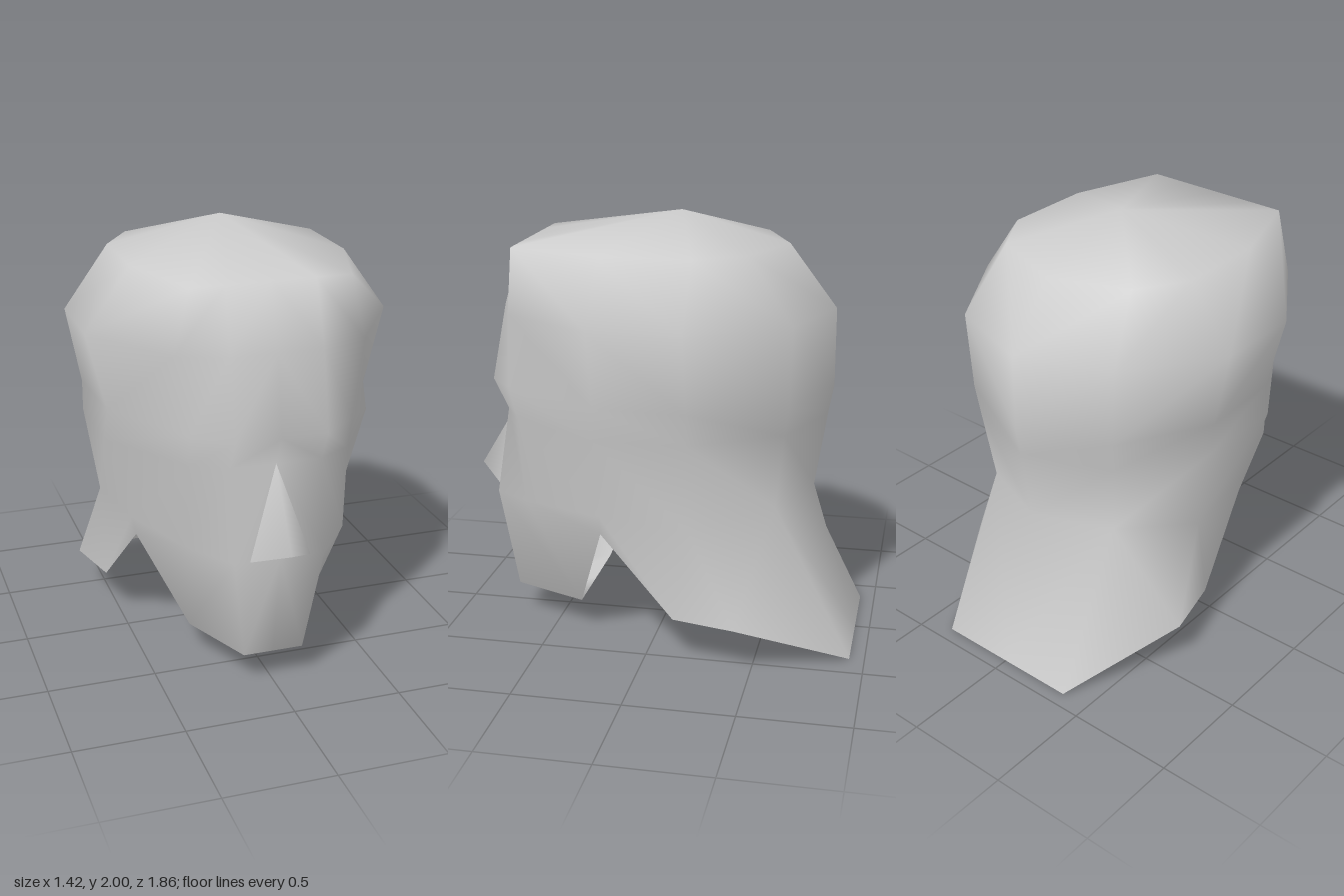
import * as THREE from 'three';
import { mergeVertices } from 'three/addons/utils/BufferGeometryUtils.js';

const grey = new THREE.MeshStandardMaterial({ color: 0xcccccc, side: THREE.DoubleSide });
grey.name = 'plain grey';

// Collects faces of the +x half, mirrors each one and welds the result smooth
function mirroredMesh(name, build) {
  const pos = [];
  const flip = ([x, y, z]) => [-x, y, z];
  const tri = (a, b, c) => pos.push(...a, ...b, ...c, ...flip(a), ...flip(c), ...flip(b));
  const quad = (a, b, c, d) => { tri(a, b, c); tri(a, c, d); };
  build(tri, quad);
  let geo = new THREE.BufferGeometry();
  geo.setAttribute('position', new THREE.Float32BufferAttribute(pos.map(v => v === 0 ? 0 : v), 3));
  geo = mergeVertices(geo, 1e-4);
  geo.computeVertexNormals();
  const mesh = new THREE.Mesh(geo, grey);
  mesh.name = name;
  return mesh;
}

// Half rings from the front centre round the +x side to the back centre
const rings = [
  // crown edge
  [[0, 1.86, 0.64], [0.2, 1.86, 0.64], [0.36, 1.86, 0.64], [0.5, 1.86, 0.21], [0.5, 1.86, -0.21], [0.36, 1.86, -0.43], [0, 1.86, -0.57]],
  // forehead
  [[0, 1.57, 0.72], [0.21, 1.57, 0.72], [0.43, 1.57, 0.64], [0.71, 1.57, 0.21], [0.71, 1.57, -0.21], [0.43, 1.57, -0.64], [0, 1.57, -0.79]],
  // brow
  [[0, 1.21, 0.79], [0.21, 1.21, 0.79], [0.37, 1.22, 0.67], [0.62, 1.21, 0.21], [0.64, 1.21, -0.21], [0.41, 1.21, -0.63], [0, 1.21, -0.79]],
  // eye line
  [[0, 1.07, 0.72], [0.21, 1.07, 0.72], [0.37, 1.07, 0.63], [0.64, 1.07, 0.21], [0.64, 1.07, -0.21], [0.4, 1.07, -0.61], [0, 1.07, -0.765]],
  // mouth and nape
  [[0, 0.65, 0.79], [0.21, 0.65, 0.785], [0.37, 0.67, 0.6], [0.52, 0.67, 0.21], [0.57, 0.65, -0.21], [0.36, 0.72, -0.57], [0, 0.72, -0.71]],
  // chin, jaw notch and hem
  [[0, 0.15, 0.715], [0.14, 0.15, 0.715], [0.29, 0.15, 0.36], [0.5, 0.58, 0.21], [0.57, 0.22, -0.14], [0.36, 0, -0.93], [0, 0, -0.93]],
];

export function createModel() {
  const model = new THREE.Group();
  model.name = 'head';

  model.add(mirroredMesh('headShell', (tri, quad) => {
    // Crown rising to one point
    const apex = [0, 2, -0.07];
    for (let c = 0; c < 6; c++) tri(apex, rings[0][c], rings[0][c + 1]);

    // Walls between the rings; the hem has one extra side corner
    const sideCorner = [0.64, 0.22, -0.43];
    for (let r = 0; r < 5; r++) {
      for (let c = 0; c < 6; c++) {
        const up = rings[r], low = rings[r + 1];
        if (r === 4 && c === 4) {
          quad(up[4], low[4], sideCorner, up[5]);
          tri(up[5], sideCorner, low[5]);
        } else {
          quad(up[c], low[c], low[c + 1], up[c + 1]);
        }
      }
    }

    // Underside of the chin
    const [chin0, chin1, jaw] = rings[5];
    const under0 = [0, 0.08, 0.57], under1 = [0.07, 0.08, 0.57], rear = [0, 0.15, 0.36];
    quad(chin0, under0, under1, chin1);
    tri(chin1, under1, jaw);
    quad(under0, rear, jaw, under1);
  }));

  // Pointed nose
  model.add(mirroredMesh('nose', (tri) => {
    const bridge = [0, 1.07, 0.72], tip = [0, 0.72, 0.93];
    const wing = [0.14, 0.65, 0.79], base = [0, 0.65, 0.79];
    tri(bridge, tip, wing);
    tri(tip, base, wing);
  }));

  return model;
}
